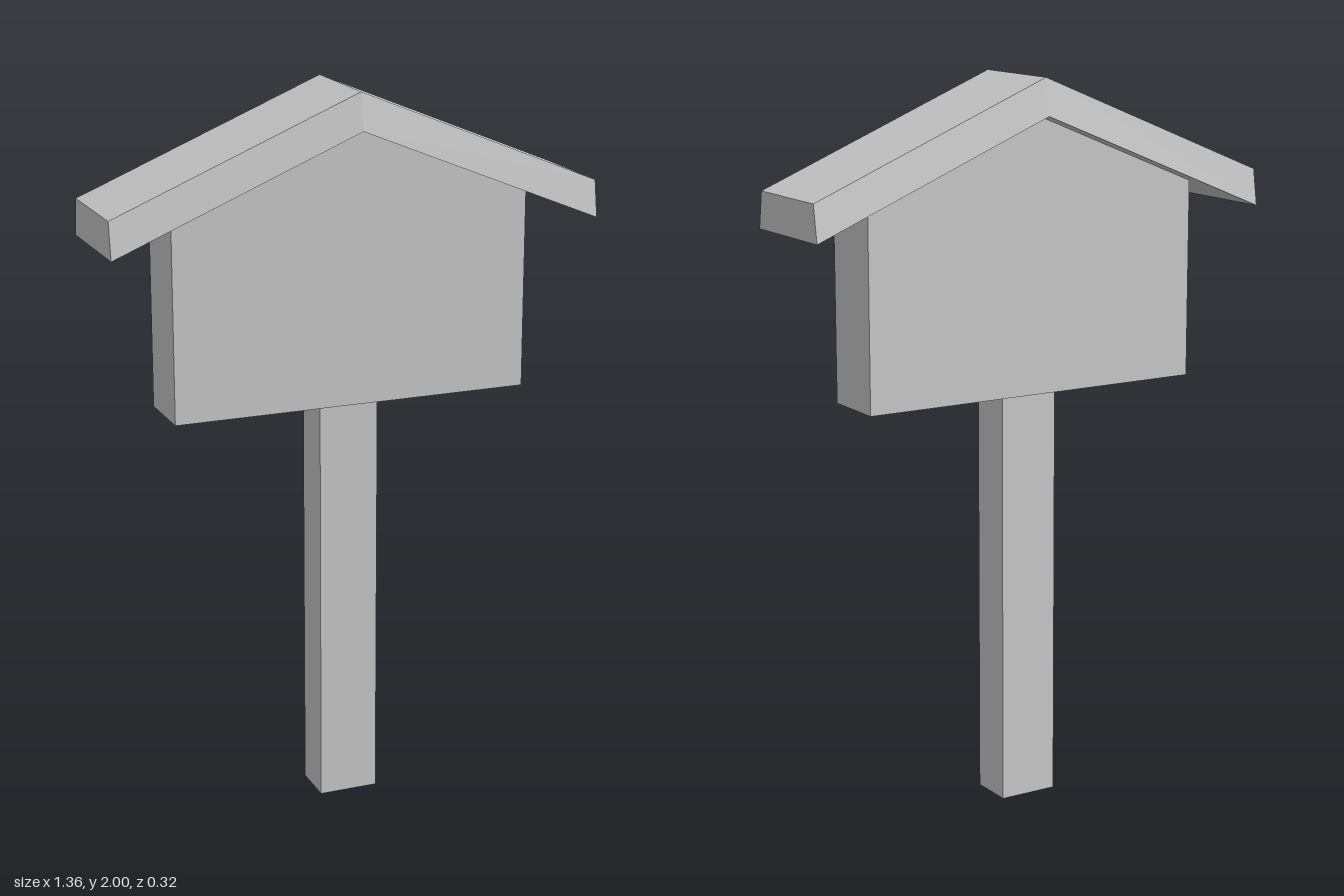
import * as THREE from 'three';

const BASE = 1.15;       // underside of the panel
const PEAK = 1.9;        // underside of the roof ridge
const THICK = 0.1;       // vertical roof thickness
const SLOPE = 0.28 / 0.68;
const underside = (x) => PEAK - SLOPE * Math.abs(x);

const material = new THREE.MeshStandardMaterial({
  color: 0xcccccc, flatShading: true, side: THREE.DoubleSide,
});

function part(name, geometry) {
  const mesh = new THREE.Mesh(geometry, material);
  mesh.name = name;
  return mesh;
}

// Front outline extruded evenly about z = 0
function slab(points, depth) {
  const shape = new THREE.Shape(points.map(([x, y]) => new THREE.Vector2(x, y)));
  return new THREE.ExtrudeGeometry(shape, { depth, bevelEnabled: false })
    .translate(0, 0, -depth / 2);
}

// Square hollow post, open at its ends
function createPost() {
  const geometry = new THREE.CylinderGeometry(Math.SQRT1_2, Math.SQRT1_2, BASE, 4, 1, true)
    .rotateY(Math.PI / 4)
    .scale(0.166, 1, 0.126)
    .translate(0, BASE / 2, 0);
  return part('post', geometry);
}

// Gabled panel that meets the roof underside
function createPanel() {
  const w = 0.5;
  return part('panel', slab([
    [-w, BASE], [w, BASE], [w, underside(w)], [0, PEAK], [-w, underside(w)],
  ], 0.186));
}

// Chevron roof, narrower in depth along its top surface
function createRoof() {
  const w = 0.68;
  const low = underside(w);
  const geometry = slab([
    [-w, low], [0, PEAK], [w, low],
    [w, low + THICK], [0, PEAK + THICK], [-w, low + THICK],
  ], 0.324);
  const pos = geometry.attributes.position;
  for (let i = 0; i < pos.count; i++) {
    const isTop = pos.getY(i) > underside(pos.getX(i)) + THICK / 2;
    if (isTop) pos.setZ(i, Math.sign(pos.getZ(i)) * 0.146);
  }
  geometry.computeVertexNormals();
  return part('roof', geometry);
}

export function createModel() {
  const model = new THREE.Group();
  model.name = 'roofedSign';
  model.add(createPost(), createPanel(), createRoof());
  return model;
}
